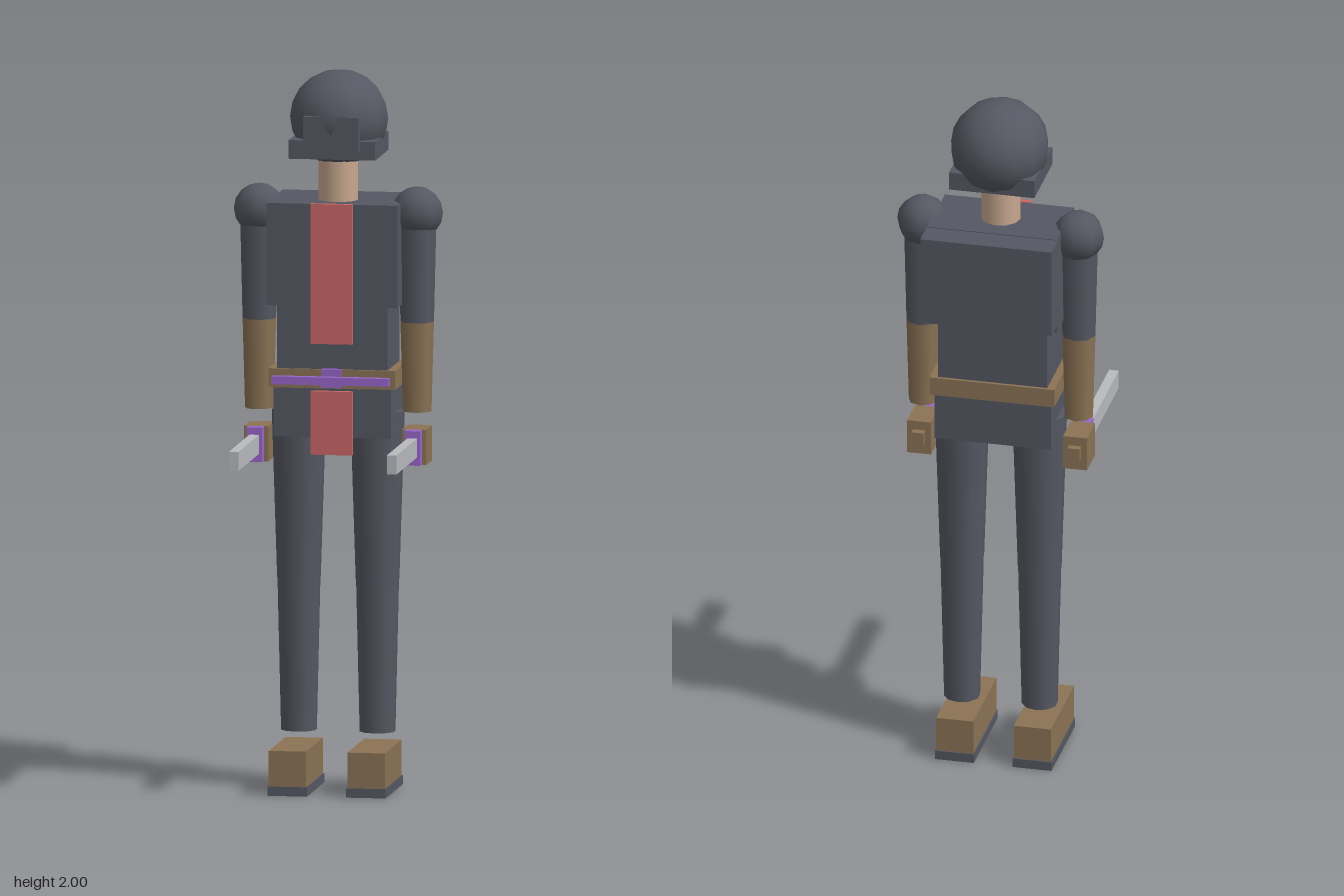
import * as THREE from 'three';

const mat = (name, color) => {
  const m = new THREE.MeshStandardMaterial({ color });
  m.name = name;
  return m;
};

export function createModel() {
  const slate = mat('slate cloth', 0x555862);
  const leather = mat('brown leather', 0x8b7355);
  const skin = mat('skin', 0xc9a890);
  const red = mat('red cloth', 0xcc6666);
  const purple = mat('purple trim', 0x9966cc);
  const steel = mat('steel', 0xb8babf);

  const model = new THREE.Group();
  model.name = 'warrior';

  const add = (name, geometry, material, x, y, z) => {
    const mesh = new THREE.Mesh(geometry, material);
    mesh.name = name;
    mesh.position.set(x, y, z);
    model.add(mesh);
    return mesh;
  };
  // Box given by centre x, width, and its y and z ranges
  const box = (name, material, x, w, y0, y1, z0, z1) =>
    add(name, new THREE.BoxGeometry(w, y1 - y0, z1 - z0), material, x, (y0 + y1) / 2, (z0 + z1) / 2);
  // Upright tapered limb section
  const limb = (name, material, x, rTop, rBottom, y0, y1, sides) =>
    add(name, new THREE.CylinderGeometry(rTop, rBottom, y1 - y0, sides), material, x, (y0 + y1) / 2, -0.122);

  // Head, hood band and brow plate
  add('head', new THREE.SphereGeometry(1, 12, 10), slate, 0, 1.867, -0.137).scale.set(0.1375, 0.133, 0.147);
  box('hoodBand', slate, 0, 0.242, 1.765, 1.817, -0.235, -0.016);
  box('browPlate', slate, 0, 0.156, 1.787, 1.886, -0.016, 0.004);
  limb('neck', skin, 0, 0.055, 0.055, 1.62, 1.77, 12);

  // Torso and backpack
  box('chest', slate, 0, 0.366, 1.355, 1.64, -0.228, -0.019);
  box('abdomen', slate, 0, 0.31, 1.17, 1.355, -0.224, -0.022);
  box('hips', slate, 0, 0.33, 0.99, 1.13, -0.222, -0.021);
  box('backpack', slate, 0, 0.372, 1.382, 1.638, -0.305, -0.228);

  // Belt, buckle and scabbard bar
  box('belt', leather, 0, 0.354, 1.127, 1.18, -0.233, -0.014);
  box('buckle', purple, 0, 0.055, 1.13, 1.182, -0.02, -0.003);
  box('beltBar', purple, 0, 0.328, 1.14, 1.162, -0.004, 0.018);

  // Front cloth panels
  box('chestPanel', red, 0, 0.117, 1.252, 1.642, -0.02, -0.004);
  box('hipPanel', red, 0, 0.117, 0.943, 1.12, -0.021, -0.004);

  for (const side of [1, -1]) {
    const s = side > 0 ? 'left' : 'right';
    const armX = 0.221 * side;
    const legX = 0.11 * side;

    // Arm
    add(s + 'Shoulder', new THREE.SphereGeometry(0.072, 8, 8), slate, armX, 1.609, -0.125);
    limb(s + 'UpperArm', slate, armX, 0.054, 0.047, 1.305, 1.6, 8);
    limb(s + 'Forearm', leather, armX, 0.047, 0.04, 1.055, 1.305, 8);
    box(s + 'Hand', leather, armX, 0.068, 0.912, 1.01, -0.17, -0.07);

    // Sword held forward
    box(s + 'SwordGrip', leather, armX, 0.034, 0.944, 0.984, -0.19, -0.06);
    box(s + 'SwordGuard', purple, armX, 0.044, 0.914, 1.01, -0.071, -0.038);
    box(s + 'SwordBlade', steel, armX, 0.027, 0.937, 0.99, -0.05, 0.305);

    // Leg and boot
    limb(s + 'Thigh', slate, legX, 0.076, 0.061, 0.585, 1.055, 10);
    limb(s + 'Shin', slate, legX, 0.06, 0.05, 0.16, 0.585, 10);
    box(s + 'Boot', leather, legX, 0.105, 0.026, 0.125, -0.212, 0.07);
    box(s + 'Sole', slate, legX, 0.11, 0, 0.026, -0.216, 0.073);
  }
  return model;
}
